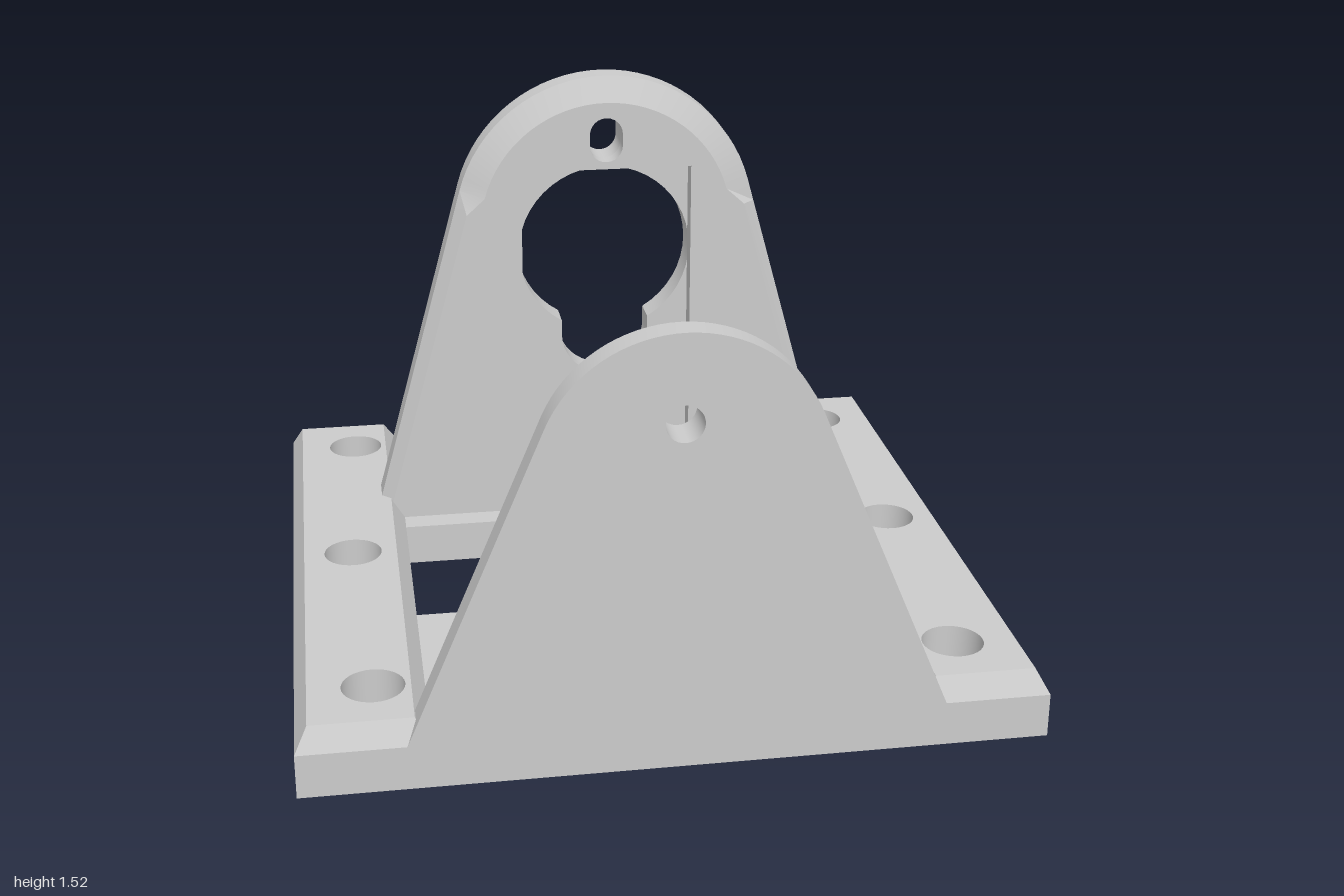
import * as THREE from 'three';
import { toCreasedNormals } from 'three/addons/utils/BufferGeometryUtils.js';

const material = new THREE.MeshStandardMaterial({ color: 0xcccccc });
const P = (x, y) => new THREE.Vector2(x, y);

// Counter-clockwise loops
const rect = (x0, y0, x1, y1) => [P(x0, y0), P(x1, y0), P(x1, y1), P(x0, y1)];
const arc = (cx, cy, r, from, to, n) =>
  Array.from({ length: n + 1 }, (_, i) => {
    const a = from + ((to - from) * i) / n;
    return P(cx + r * Math.cos(a), cy + r * Math.sin(a));
  });
const circle = (cx, cy, r) => arc(cx, cy, r, 0, Math.PI * 2, 32).slice(0, -1);
const slot = (cy, r, half) => [
  ...arc(0, cy + half, r, 0, Math.PI, 12),
  ...arc(0, cy - half, r, Math.PI, Math.PI * 2, 12),
];

// Solid lofted through [z, outline] levels, with straight holes right through
function slab(name, levels, holes = []) {
  const pos = [];
  const tri = (...pts) => pts.forEach(([p, z]) => pos.push(p.x, p.y, z));
  const wall = (lo, z0, hi, z1) => {
    for (let i = 0; i < lo.length; i++) {
      const j = (i + 1) % lo.length;
      tri([lo[i], z0], [lo[j], z0], [hi[j], z1]);
      tri([lo[i], z0], [hi[j], z1], [hi[i], z1]);
    }
  };
  const cap = ([z, outline], up) => {
    const all = [outline, ...holes].flat();
    for (const [a, b, c] of THREE.ShapeUtils.triangulateShape(outline, holes)) {
      if (up) tri([all[a], z], [all[b], z], [all[c], z]);
      else tri([all[a], z], [all[c], z], [all[b], z]);
    }
  };
  const first = levels[0], last = levels[levels.length - 1];
  for (let i = 1; i < levels.length; i++) {
    wall(levels[i - 1][1], levels[i - 1][0], levels[i][1], levels[i][0]);
  }
  for (const hole of holes) {
    const inward = [...hole].reverse();
    wall(inward, first[0], inward, last[0]);
  }
  cap(first, false);
  cap(last, true);
  const geo = new THREE.BufferGeometry();
  geo.setAttribute('position', new THREE.Float32BufferAttribute(pos, 3));
  geo.computeVertexNormals();
  const mesh = new THREE.Mesh(toCreasedNormals(geo, 0.4), material);
  mesh.name = name;
  return mesh;
}

// Tapered plate outline with a round top; phi is the lean of its sides
function arch(cy, r, phi, arcInset = 0, sideInset = 0) {
  const tx = r * Math.cos(phi), ty = cy + r * Math.sin(phi);
  const side = (y) => P(tx + (ty - y) * Math.tan(phi) - sideInset / Math.cos(phi), y);
  const right = [side(0.1), side(ty - 0.07)];
  const left = right.map((p) => P(-p.x, p.y)).reverse();
  return [...right, ...arc(0, cy, r - arcInset, phi, Math.PI - phi, 32), ...left];
}

export function createModel() {
  const model = new THREE.Group();
  const deckTop = 0.125, railTop = 0.19;

  // Base, drawn in plan (y of the outline is -z) and laid flat
  const base = new THREE.Group();
  base.name = 'base';
  base.rotation.x = -Math.PI / 2;
  const deck = (name, outline) => base.add(slab(name, [[0, outline], [deckTop, outline]]));
  deck('rearDeck', rect(-0.65, 0.28, 0.65, 1));
  deck('frontDeck', [
    P(-0.65, -1), P(0.65, -1), P(0.65, -0.3), P(0.3, -0.3),
    P(0.3, -0.65), P(-0.3, -0.65), P(-0.3, -0.3), P(-0.65, -0.3),
  ]);

  // Side rails with chamfered tops and screw holes
  for (const s of [1, -1]) {
    const span = (inner, outer, z) =>
      rect(Math.min(s * inner, s * outer), -z, Math.max(s * inner, s * outer), z);
    const foot = span(0.65, 1, 1), top = span(0.69, 0.965, 0.965);
    const holes = [[0.79, 0.79], [0.82, 0], [0.79, -0.79]].map(([x, y]) => circle(s * x, y, 0.085));
    base.add(slab(s > 0 ? 'leftRail' : 'rightRail', [[0, foot], [deckTop, foot], [railTop, top]], holes));
  }
  model.add(base);

  // Front plate: pivot hole, chamfered on its inner face only
  const front = arch(0.835, 0.38, 0.4);
  const frontInset = arch(0.835, 0.38, 0.4, 0.075, 0.035);
  model.add(slab('frontPlate', [[0.885, frontInset], [0.922, front], [1, front]], [circle(0, 0.975, 0.05)]));

  // Rear plate: a slab with the keyhole behind a slab with the square pocket
  const rear = arch(1.06, 0.46, 0.27);
  const rearInset = arch(1.06, 0.46, 0.27, 0.075, 0.035);
  const slots = [slot(1.33, 0.05, 0.018), slot(0.21, 0.05, 0.018)];
  const neck = -Math.acos(0.135 / 0.265);
  const keyhole = [
    ...arc(0, 0.97, 0.265, neck, Math.PI - neck, 40),
    ...arc(0, 0.695, 0.135, Math.PI, Math.PI * 2, 20),
  ];
  const rearPlate = new THREE.Group();
  rearPlate.name = 'rearPlate';
  rearPlate.add(
    slab('keyholeLayer', [[-0.505, rearInset], [-0.47, rear], [-0.41, rear]], [keyhole, ...slots]),
    slab('pocketLayer', [[-0.41, rear], [-0.39, rear], [-0.355, rearInset]],
      [rect(-0.26, 0.3, 0.26, 1.24), ...slots]),
  );
  model.add(rearPlate);
  return model;
}
